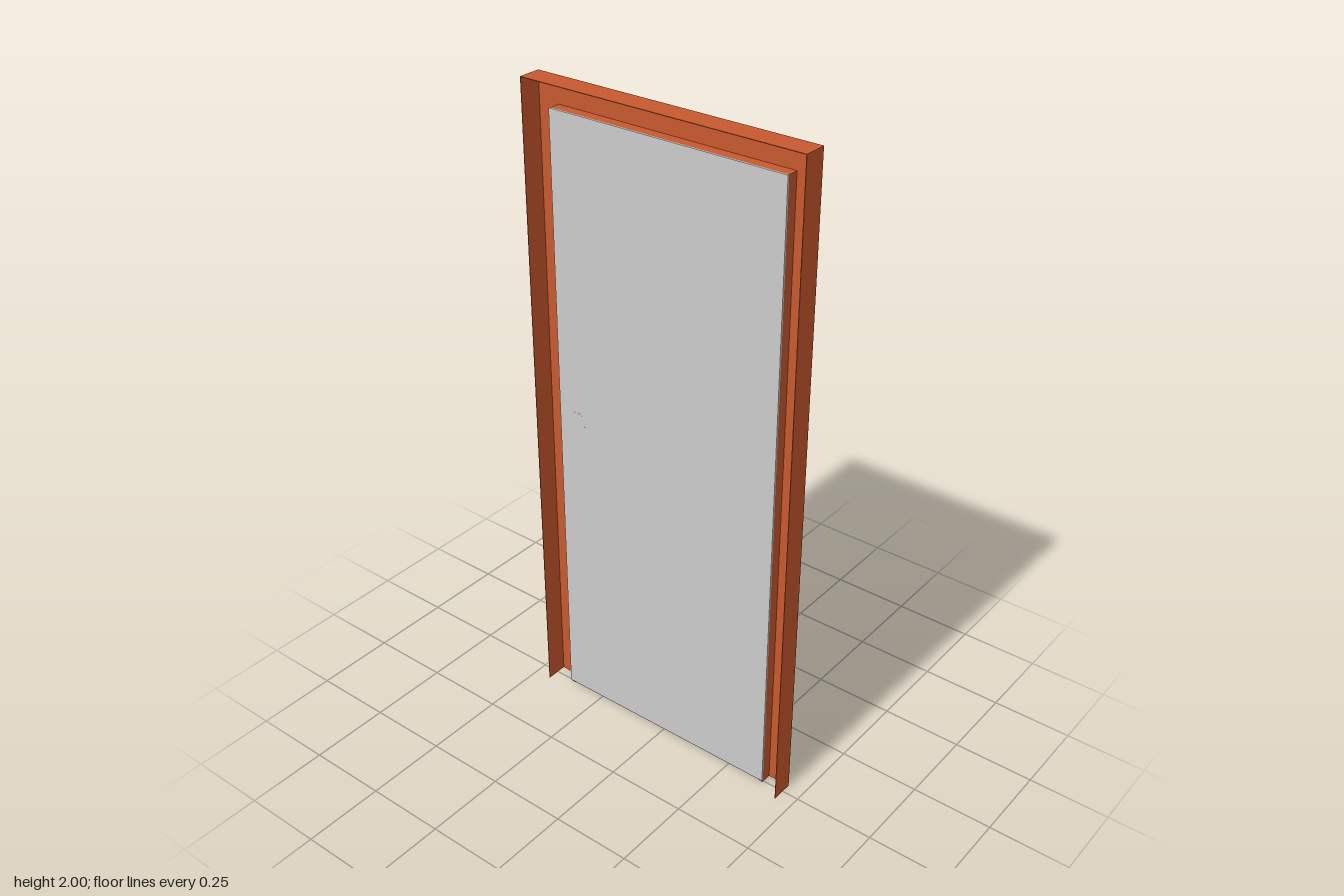
import * as THREE from 'three';

export function createModel() {
  const group = new THREE.Group();
  group.name = 'door';
  const orange = new THREE.MeshStandardMaterial({ color: 0xc8592f, side: THREE.DoubleSide });
  const grey = new THREE.MeshStandardMaterial({ color: 0xcccccc });

  const add = (name, geometry, material, parent = group) => {
    const mesh = new THREE.Mesh(geometry, material);
    mesh.name = name;
    parent.add(mesh);
    return mesh;
  };

  // Upside-down U outline, open at the floor, extruded from z0 to z1
  const archway = (outerX, outerY, innerX, innerY, z0, z1) => {
    const shape = new THREE.Shape([
      [-outerX, 0], [-innerX, 0], [-innerX, innerY], [innerX, innerY],
      [innerX, 0], [outerX, 0], [outerX, outerY], [-outerX, outerY],
    ].map(([x, y]) => new THREE.Vector2(x, y)));
    return new THREE.ExtrudeGeometry(shape, { depth: z1 - z0, bevelEnabled: false }).translate(0, 0, z0);
  };

  // Frame: folded sheet, hollow towards the front
  const frame = new THREE.Group();
  frame.name = 'frame';
  group.add(frame);
  add('outerCasing', archway(0.447, 2, 0.445, 1.998, -0.031, 0.039), orange, frame);
  add('backFlange', archway(0.446, 1.999, 0.362, 1.907, -0.031, -0.029), orange, frame);
  add('doorStop', archway(0.377, 1.922, 0.362, 1.907, -0.03, 0.005), orange, frame);

  // Door leaf, closing against the front of the stop
  add('doorLeaf', new THREE.BoxGeometry(0.756, 1.915, 0.005).translate(0, 0.9655, 0.0075), grey);

  // Cylinder between two points
  const rod = (name, a, b, radius, parent) => {
    const from = new THREE.Vector3(...a), to = new THREE.Vector3(...b);
    const mesh = add(name, new THREE.CylinderGeometry(radius, radius, from.distanceTo(to), 24), grey, parent);
    mesh.position.copy(from).add(to).multiplyScalar(0.5);
    mesh.quaternion.setFromUnitVectors(new THREE.Vector3(0, 1, 0), to.sub(from).normalize());
    return mesh;
  };

  // Lever handle on the back
  const handle = new THREE.Group();
  handle.name = 'handle';
  group.add(handle);
  rod('rosette', [-0.313, 1.0, 0.0102], [-0.313, 1.0, -0.003], 0.029, handle);
  rod('neck', [-0.311, 1.0, 0], [-0.311, 1.0, -0.034], 0.013, handle);
  rod('elbow', [-0.313, 1.0, -0.021], [-0.268, 1.012, -0.023], 0.011, handle);
  rod('lever', [-0.276, 1.012, -0.026], [-0.16, 1.012, -0.026], 0.015, handle);

  return group;
}
